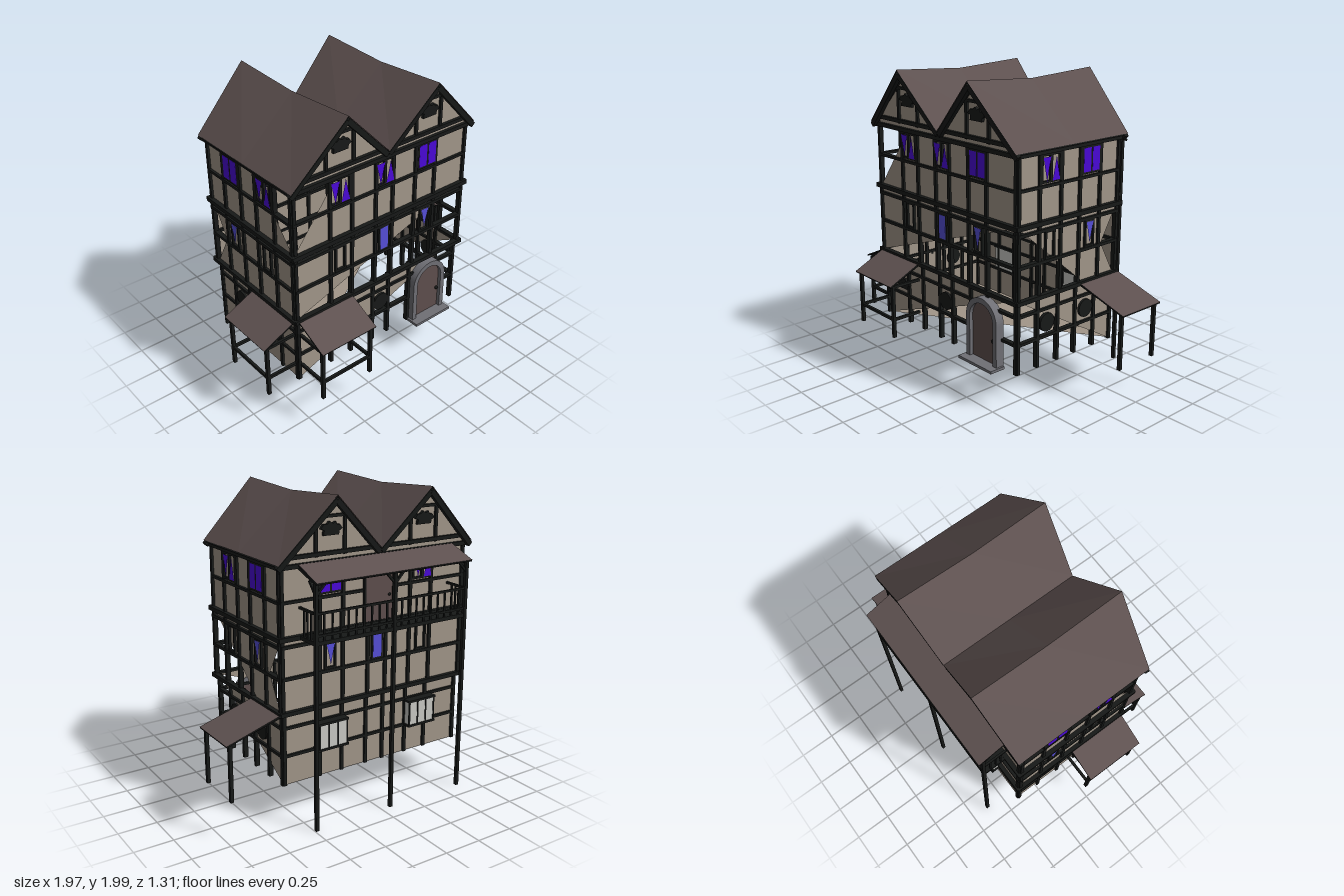
import * as THREE from 'three';

const mat = (name, color, side = THREE.FrontSide) => {
  const m = new THREE.MeshStandardMaterial({ color, side });
  m.name = name;
  return m;
};
const PLASTER = mat('plaster', 0xa2978a, THREE.DoubleSide);
const TIMBER = mat('dark timber', 0x171918, THREE.DoubleSide);
const ROOF = mat('roof brown', 0x5e5150, THREE.DoubleSide);
const DOOR = mat('door brown', 0x5f4f4d);
const STONE = mat('grey stone', 0x6f6f75);
const PURPLE = mat('purple glass', 0x4a08d8, THREE.DoubleSide);
const BLUE = mat('blue glass', 0x564fd8, THREE.DoubleSide);
const PANE = mat('pale glass', 0xcacac6);
// canopy slabs: brown on top, dark everywhere else
const CANOPY = [TIMBER, TIMBER, ROOF, TIMBER, TIMBER, TIMBER];

const V = (x, y, z) => new THREE.Vector3(x, y, z);

function add(parent, name, geo, material, x = 0, y = 0, z = 0) {
  const m = new THREE.Mesh(geo, material);
  m.name = name;
  m.position.set(x, y, z);
  parent.add(m);
  return m;
}
const box = (p, name, w, h, d, material, x, y, z) =>
  add(p, name, new THREE.BoxGeometry(w, h, d), material, x, y, z);

// square timber from point a to point b
function bar(parent, name, a, b, t = 0.022, t2 = t) {
  const dir = b.clone().sub(a), len = dir.length();
  const up = Math.abs(dir.z) > 0.9 * len ? V(0, 1, 0) : V(0, 0, 1);
  const m = box(parent, name, t, t2, len, TIMBER, 0, 0, 0);
  m.position.copy(a).add(b).multiplyScalar(0.5);
  m.quaternion.setFromRotationMatrix(new THREE.Matrix4().lookAt(b, a, up));
  return m;
}

const poly = (pts) => new THREE.Shape(pts.map(([x, y]) => new THREE.Vector2(x, y)));
const sheet = (p, name, pts, z) => add(p, name, new THREE.ShapeGeometry(poly(pts)), PLASTER, 0, 0, z);

function frame(p, x, y, w, h, z) {
  for (const s of [-1, 1]) {
    box(p, 'windowJamb', 0.013, h + 0.013, 0.018, TIMBER, x + s * w / 2, y, z);
    box(p, 'windowRail', w + 0.013, 0.013, 0.018, TIMBER, x, y + s * h / 2, z);
  }
}

// triangular pane, dir = -1 points down, +1 points up
function triPane(p, x, y, w, h, dir, material, z) {
  const g = new THREE.ShapeGeometry(poly([[-w / 2, -dir * h / 2], [w / 2, -dir * h / 2], [0, dir * h / 2]]));
  add(p, 'triangularPane', g, material, x, y, z);
}

function upperWindow(p, x, kind, z) {
  for (const s of [-1, 1]) {
    const cx = x + s * 0.038;
    frame(p, cx, 1.5, 0.07, 0.16, z);
    if (kind === 'solid') box(p, 'windowPane', 0.062, 0.148, 0.008, PURPLE, cx, 1.5, z + 0.006);
    else triPane(p, cx, 1.495, 0.062, 0.146, s, PURPLE, z + 0.01);
  }
}

function middleWindow(p, x, kind, z) {
  frame(p, x, 1.035, 0.07, 0.165, z);
  if (kind === 'solid') box(p, 'windowPane', 0.062, 0.155, 0.008, BLUE, x, 1.035, z + 0.006);
  if (kind === 'tri') triPane(p, x, 1.04, 0.062, 0.14, -1, BLUE, z + 0.01);
}

// jagged hanging garland
function garland(p, x, y, z) {
  const pts = [[-0.075, 0.005], [-0.05, -0.005], [-0.055, -0.035], [0.05, -0.035], [0.055, -0.012], [0.075, 0],
    [0.058, 0.024], [0.04, 0.022], [0.03, 0.042], [0.01, 0.032], [-0.012, 0.046], [-0.03, 0.03], [-0.055, 0.03]];
  const g = new THREE.ExtrudeGeometry(poly(pts), { depth: 0.02, bevelEnabled: false });
  add(p, 'garland', g, TIMBER, x, y, z);
}

// timber framing of one face: local +z points outward from the wall
function facade(house, name, angle, halfW, dist, posts, upper, middle, spots, groundWall, upperWall) {
  const f = new THREE.Group();
  f.name = name;
  f.rotation.y = angle;
  house.add(f);
  const dg = dist - 0.015;
  sheet(f, 'groundWall', groundWall, dg);
  sheet(f, 'upperWall', upperWall, dist);
  for (const u of posts) for (const s of [-1, 1]) {
    box(f, 'upperPost', 0.022, 0.88, 0.03, TIMBER, s * u * (halfW - 0.005), 1.16, dist);
    box(f, 'groundPost', 0.022, 0.47, 0.03, TIMBER, s * u * (halfW - 0.018), 0.485, dg);
  }
  for (const [y, t, out] of [[0.72, 0.026, 0.02], [0.935, 0.02, 0], [1.13, 0.02, 0.004], [1.18, 0.028, 0.025],
    [1.395, 0.018, 0], [1.6, 0.026, 0.01]])
    box(f, 'wallBeam', 2 * (halfW + out), t, 0.034, TIMBER, 0, y, dist + out / 2);
  for (const y of [0.44, 0.62]) box(f, 'groundBeam', 2 * halfW - 0.02, 0.018, 0.03, TIMBER, 0, y, dg);
  upper.forEach((k, i) => k && upperWindow(f, spots[i], k, dist + 0.006));
  middle.forEach((k, i) => middleWindow(f, spots[i], k, dist + 0.006));
  return f;
}

function roundWindow(f, u, z) {
  add(f, 'roundWindow', new THREE.CylinderGeometry(0.06, 0.06, 0.02, 20), TIMBER, u, 0.53, z).rotation.x = Math.PI / 2;
}

// lean-to canopy: local z = 0 is the wall, +z is outward
function awning(root, name, x, z, angle, w, d, rails) {
  const a = new THREE.Group();
  a.name = name;
  a.position.set(x, 0, z);
  a.rotation.y = angle;
  root.add(a);
  const drop = 0.115;
  box(a, 'canopyRoof', w, 0.01, Math.hypot(d, drop), CANOPY, 0, 0.665, d / 2).rotation.x = Math.atan2(drop, d);
  const px = w / 2 - 0.022, pz = d - 0.03;
  for (const s of [-1, 1]) {
    bar(a, 'canopyPost', V(s * px, 0.245, pz), V(s * px, 0.605, pz));
    bar(a, 'canopyRafter', V(s * px, 0.705, 0), V(s * px, 0.61, pz), 0.012);
    if (rails) for (const y of [0.37, 0.6]) bar(a, 'sideRail', V(s * px, y, 0), V(s * px, y, pz), 0.018);
  }
  bar(a, 'canopyBeam', V(-px, 0.6, pz), V(px, 0.6, pz), 0.018);
  if (rails) bar(a, 'frontRail', V(-px, 0.37, pz), V(px, 0.37, pz), 0.018);
}

// twin gable roof sheet, sagging slightly at mid length
function roofSheet(drop) {
  const profile = [[-0.715, 1.62, 0.47], [-0.343, 1.993, 0.51], [0, 1.65, 0.47], [0.343, 1.993, 0.51], [0.715, 1.62, 0.47]];
  const pos = [], idx = [];
  for (const s of [1, 0, -1]) for (const [x, y, z] of profile)
    pos.push(x, y - drop - (s === 0 && y > 1.9 ? 0.028 : 0), z * s);
  for (let r = 0; r < 2; r++) for (let i = 0; i < 4; i++) {
    const a = r * 5 + i, b = a + 5;
    idx.push(a, a + 1, b + 1, a, b + 1, b);
  }
  let g = new THREE.BufferGeometry();
  g.setAttribute('position', new THREE.Float32BufferAttribute(pos, 3));
  g.setIndex(idx);
  g = g.toNonIndexed();
  g.computeVertexNormals();
  return g;
}

function archShape(r, top) {
  const s = new THREE.Shape();
  s.moveTo(-r, 0);
  s.lineTo(r, 0);
  s.lineTo(r, top - r);
  s.absarc(0, top - r, r, 0, Math.PI, false);
  s.lineTo(-r, 0);
  return s;
}

export function createModel() {
  const root = new THREE.Group();
  root.name = 'timberHouse';
  const house = new THREE.Group();
  house.name = 'house';
  house.position.set(-0.07, 0, -0.02);
  root.add(house);

  // half floor under the rear corner
  const floor = sheet(house, 'floor', [[-0.66, -0.41], [-0.66, 0.41], [0.66, 0.41]], 0);
  floor.rotation.x = -Math.PI / 2;
  floor.position.y = 0.25;

  // roof
  add(house, 'roof', roofSheet(0), ROOF);
  add(house, 'roofUnderside', roofSheet(0.008), TIMBER);

  // four timbered faces; the ruined plaster has open corners
  const long = [1, 0.62, 0.375, 0.1], short = [1, 0.61, 0.19];
  const wide = [-0.345, 0, 0.345], narrow = [-0.17, 0.17], H = Math.PI / 2;
  const rect = (w, a, b) => [[-w, a], [w, a], [w, b], [-w, b]];
  const front = facade(house, 'frontFace', 0, 0.68, 0.425, long, ['tri', 'tri', 'solid'], ['plain', 'solid', 'tri'], wide,
    [[-0.66, 0.25], [0.66, 0.72], [-0.66, 0.72]],
    [[-0.68, 0.72], [0.68, 1.18], [0.68, 1.61], [-0.35, 1.61], [-0.68, 1.18]]);
  const back = facade(house, 'backFace', Math.PI, 0.68, 0.425, long, ['solid', null, 'tri'], ['tri', 'solid', 'plain'], wide,
    rect(0.66, 0.25, 0.72), rect(0.68, 0.72, 1.61));
  const left = facade(house, 'leftFace', H, 0.425, 0.68, short, ['tri', 'solid'], ['plain', 'tri'], narrow,
    [[0.41, 0.25], [0.41, 0.72], [-0.41, 0.72]],
    [[-0.425, 1.61], [-0.425, 1.18], [0.13, 0.72], [0.41, 0.72], [0.29, 0.94], [0.425, 1.17], [0.425, 1.61]]);
  const right = facade(house, 'rightFace', -H, 0.425, 0.68, short, ['solid', 'tri'], ['tri', 'plain'], narrow,
    rect(0.41, 0.25, 0.72),
    [[-0.425, 1.17], [-0.29, 0.94], [-0.41, 0.72], [0.425, 0.72], [0.425, 1.18], [0.05, 1.61], [-0.425, 1.61]]);
  roundWindow(front, 0, 0.415);
  for (const f of [left, right]) for (const u of narrow) roundWindow(f, u, 0.67);

  // gable plaster, timbers, bargeboards and garlands
  for (const f of [front, back]) {
    for (const s of [-1, 1]) {
      const c = s * 0.343;
      sheet(f, 'gable', [[c - 0.335, 1.6], [c + 0.335, 1.6], [c + 0.335, 1.64], [c, 1.975], [c - 0.335, 1.64]], 0.425);
      box(f, 'gableBeam', 0.62, 0.024, 0.034, TIMBER, c, 1.652, 0.43);
      box(f, 'collarBeam', 0.2, 0.018, 0.03, TIMBER, c, 1.865, 0.425);
      for (const k of [-1, 1]) {
        box(f, 'gablePost', 0.02, 0.23, 0.03, TIMBER, c + k * 0.1, 1.75, 0.425);
        bar(f, 'bargeboard', V(c, 1.962, 0.492), V(c + k * (k === s ? 0.368 : 0.335), k === s ? 1.593 : 1.627, 0.452), 0.034, 0.03);
      }
      garland(f, c, 1.79, 0.425);
    }
  }
  garland(front, -0.47, 0.52, 0.41);

  // arched front door
  const entry = new THREE.Group();
  entry.name = 'frontDoor';
  entry.position.set(0.33, 0.25, 0.385);
  root.add(entry);
  const surround = archShape(0.142, 0.43);
  surround.holes.push(archShape(0.108, 0.395));
  add(entry, 'stoneArch', new THREE.ExtrudeGeometry(surround, { depth: 0.06, bevelEnabled: false, curveSegments: 16 }), STONE);
  add(entry, 'doorLeaf', new THREE.ExtrudeGeometry(archShape(0.108, 0.395), { depth: 0.035, bevelEnabled: false, curveSegments: 16 }), DOOR);
  box(entry, 'doorstep', 0.31, 0.018, 0.11, STONE, 0, 0.006, 0.06);
  add(entry, 'doorKnob', new THREE.SphereGeometry(0.012, 10, 8), TIMBER, 0.09, 0.17, 0.042);

  // canopies
  awning(root, 'frontAwning', -0.5375, 0.41, 0, 0.415, 0.24, true);
  awning(root, 'leftAwning', 0.61, -0.285, H, 0.35, 0.375, false);
  awning(root, 'rightAwning', -0.735, 0.19, -H, 0.42, 0.25, true);

  // rear bay windows
  for (const u of wide.filter((w) => w)) {
    box(back, 'bayWindow', 0.2, 0.155, 0.075, PANE, u, 0.53, 0.435);
    for (const y of [0.446, 0.614]) box(back, 'bayFrame', 0.22, 0.014, 0.088, TIMBER, u, y, 0.435);
    for (let i = 0; i < 4; i++) box(back, 'bayMullion', 0.01, 0.16, 0.01, TIMBER, u - 0.099 + i * 0.066, 0.53, 0.471);
  }

  // rear balcony
  const balcony = new THREE.Group();
  balcony.name = 'balcony';
  back.add(balcony);
  const bw = 0.555, bz = 0.605;
  box(balcony, 'balconyFloor', 2 * bw + 0.02, 0.024, 0.185, TIMBER, 0, 1.18, 0.52);
  box(balcony, 'balconyRoof', 1.14, 0.012, 0.21, CANOPY, 0, 1.57, 0.54).rotation.x = 0.36;
  box(balcony, 'balconyDoor', 0.2, 0.35, 0.03, DOOR, 0, 1.37, 0.435);
  frame(balcony, 0, 1.37, 0.21, 0.355, 0.445);
  add(balcony, 'balconyKnob', new THREE.SphereGeometry(0.01, 8, 6), TIMBER, 0.075, 1.35, 0.455);
  for (const x of [-bw, 0, bw]) {
    bar(balcony, 'tallPost', V(x, 0, bz), V(x, 1.535, bz), 0.022);
    bar(balcony, 'rafter', V(x, 1.59, 0.43), V(x, 1.53, bz), 0.016);
    for (const s of [-1, 1]) if (Math.abs(x + s * 0.05) < bw)
      bar(balcony, 'brace', V(x, 1.46, bz), V(x + s * 0.06, 1.525, bz), 0.014);
  }
  bar(balcony, 'eavesBeam', V(-bw, 1.53, bz), V(bw, 1.53, bz), 0.02);
  for (const y of [1.225, 1.355]) bar(balcony, 'handrail', V(-bw, y, bz), V(bw, y, bz), 0.014);
  for (let i = 1; i < 20; i++) {
    const x = -bw + (i * 2 * bw) / 20;
    bar(balcony, 'baluster', V(x, 1.19, bz), V(x, 1.355, bz), 0.01);
  }
  for (const s of [-1, 1]) {
    bar(balcony, 'sideHandrail', V(s * bw, 1.355, 0.43), V(s * bw, 1.355, bz), 0.014);
    bar(balcony, 'sideBrace', V(s * bw, 1.46, bz), V(s * bw, 1.535, 0.54), 0.014);
    for (const z of [0.48, 0.515, 0.555]) bar(balcony, 'sideBaluster', V(s * bw, 1.19, z), V(s * bw, 1.355, z), 0.01);
  }
  return root;
}
